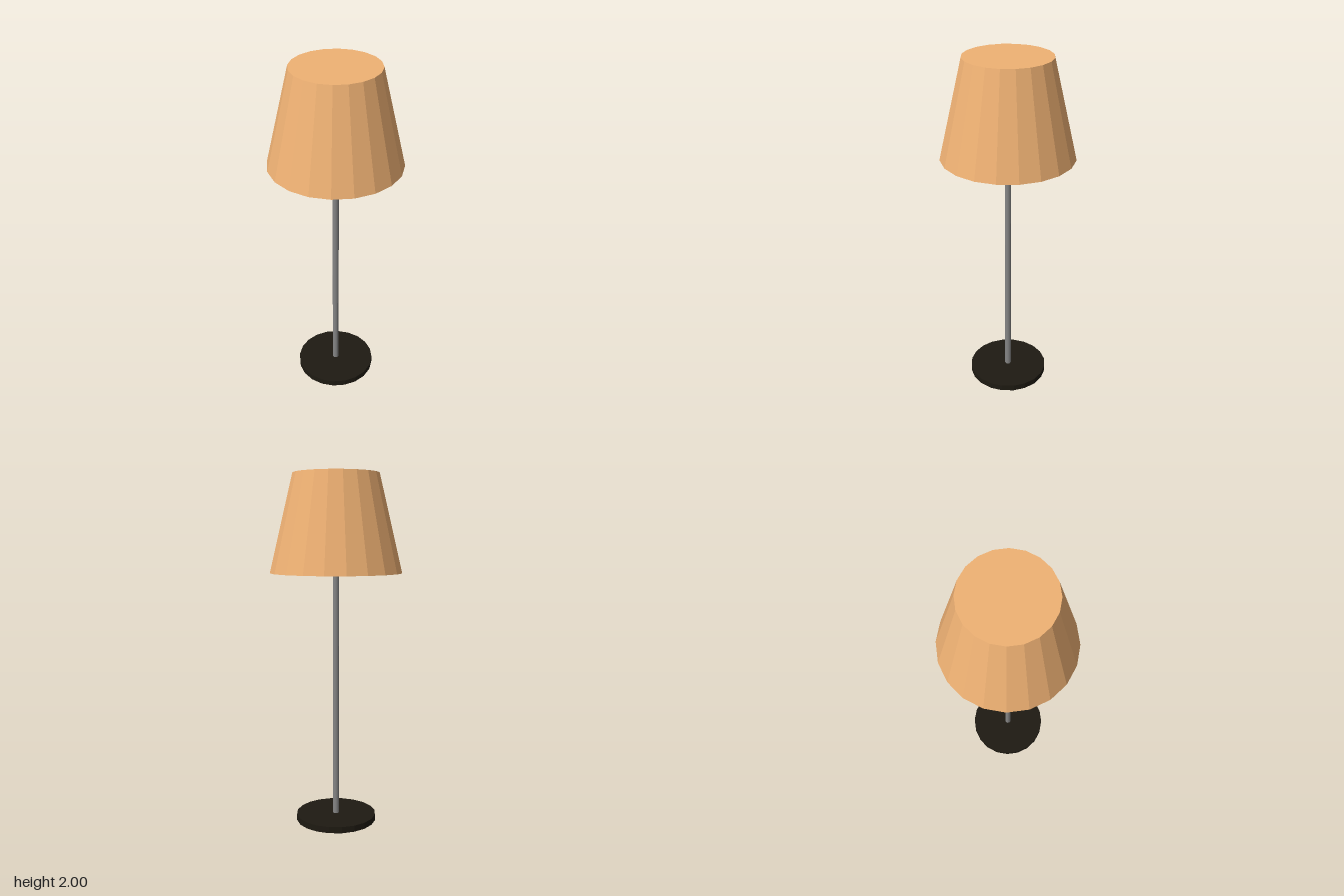
import * as THREE from 'three';

const SIDES = 20;

function part(name, geometry, color, side = THREE.FrontSide) {
  const material = new THREE.MeshStandardMaterial({ color, side, flatShading: true });
  const mesh = new THREE.Mesh(geometry, material);
  mesh.name = name;
  return mesh;
}

// Upright cylinder between two heights
function column(radius, y0, y1) {
  return new THREE.CylinderGeometry(radius, radius, y1 - y0, SIDES).translate(0, (y0 + y1) / 2, 0);
}

export function createModel() {
  const lamp = new THREE.Group();
  lamp.name = 'floorLamp';

  // Flat round foot and thin pole ending inside the shade
  lamp.add(part('base', column(0.232, 0, 0.036), 0x1e1a12));
  lamp.add(part('pole', column(0.018, 0.03, 1.6), 0x858585));

  // Tapered shade, closed on top and open below
  const profile = [[0.373, 1.45], [0.242, 2], [0, 2]].map(([r, y]) => new THREE.Vector2(r, y));
  lamp.add(part('shade', new THREE.LatheGeometry(profile, SIDES), 0xf0b274, THREE.DoubleSide));

  return lamp;
}
